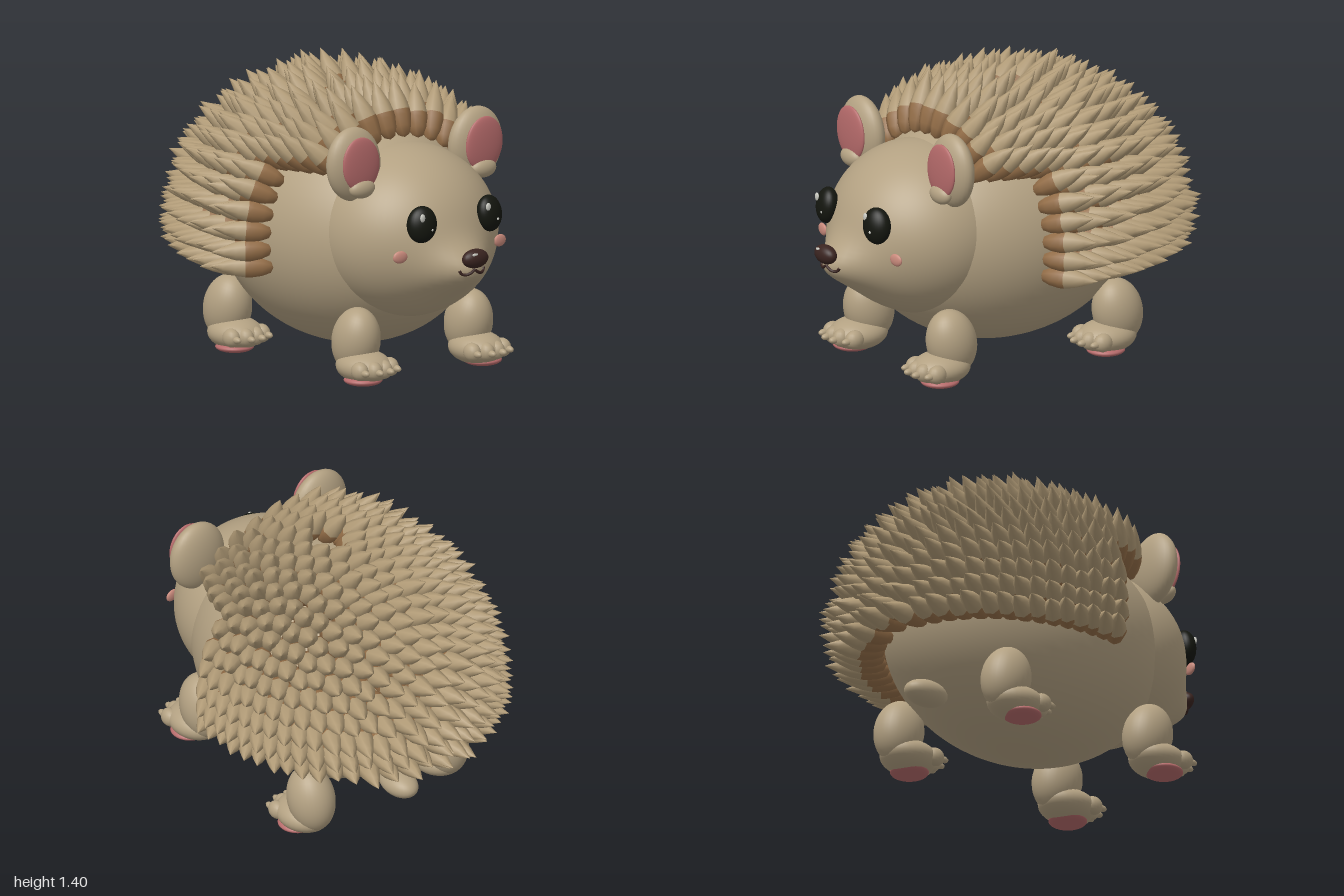
import * as THREE from 'three';
import { mergeGeometries, mergeVertices } from 'three/addons/utils/BufferGeometryUtils.js';

const mat = (color) => new THREE.MeshStandardMaterial({ color });
const fur = mat(0xb3a182), brown = mat(0x946e48), tan = mat(0xb09a76), pink = mat(0xb56a6a);
const black = mat(0x14160f), noseBrown = mat(0x3a2420), shine = mat(0xc8c8c0), blush = mat(0xc98a7c);

// Smooth ellipsoid with a centre, three radii and an optional rotation
function blob(name, parent, material, pos, radii, rot = [0, 0, 0], detail = 32) {
  const mesh = new THREE.Mesh(new THREE.SphereGeometry(1, detail, Math.round(detail * 0.7)), material);
  mesh.name = name;
  mesh.position.set(...pos);
  mesh.scale.set(...radii);
  mesh.rotation.set(...rot);
  parent.add(mesh);
}

// Ellipsoid head whose front swells softly into a muzzle
function addHead(parent) {
  let geo = new THREE.SphereGeometry(1, 72, 56);
  geo.deleteAttribute('uv');
  geo.deleteAttribute('normal');
  geo.scale(0.435, 0.405, 0.43).translate(0, 0.667, 0.42);
  geo = mergeVertices(geo, 1e-5);
  const p = geo.attributes.position;
  for (let i = 0; i < p.count; i++) {
    const x = p.getX(i), y = p.getY(i), z = p.getZ(i);
    if (z < 0.42) continue;
    const swell = Math.exp(-((x / 0.155) ** 2) - ((y - 0.55) / 0.115) ** 2);
    p.setZ(i, z + 0.125 * swell);
  }
  geo.computeVertexNormals();
  const head = new THREE.Mesh(geo, fur);
  head.name = 'head';
  parent.add(head);
}

// Coat of overlapping teardrop quills: dark roots and pale tips
function addQuills(parent) {
  const c = new THREE.Vector3(0, 0.62, -0.01), r = new THREE.Vector3(0.57, 0.57, 0.74);
  const lathe = (pts) => new THREE.LatheGeometry(pts.map(([x, y]) => new THREE.Vector2(x, y)), 8);
  const rootGeo = lathe([[0, 0], [0.027, 0.012], [0.043, 0.05], [0.052, 0.1], [0.051, 0.125]]);
  const tipGeo = lathe([[0.051, 0.125], [0.044, 0.17], [0.026, 0.225], [0, 0.285]]);
  const roots = [], tips = [];
  const up = new THREE.Vector3(0, 1, 0), q = new THREE.Quaternion(), size = new THREE.Vector3();
  let seed = 7;
  const jitter = (amount) => {
    seed = (seed * 16807) % 2147483647;
    return (seed / 2147483647 - 0.5) * 2 * amount;
  };

  const plant = (p) => {
    const d = p.clone().sub(c).divide(r).divide(r).normalize().multiplyScalar(0.76);
    d.y = Math.max(d.y, 0);
    d.z -= 0.6;
    d.normalize();
    d.x += jitter(0.05);
    d.y += jitter(0.04);
    q.setFromUnitVectors(up, d.normalize());
    size.set(1, 1 + jitter(0.07), 1);
    const m = new THREE.Matrix4().compose(p.clone().addScaledVector(d, -0.035), q, size);
    roots.push(rootGeo.clone().applyMatrix4(m));
    tips.push(tipGeo.clone().applyMatrix4(m));
  };

  // Staggered arcs from the rear pole towards the brow, ending along a level hem
  let row = 0;
  for (let t = 0.07; t < 2.12; row++) {
    const ring = r.x * Math.sin(t), z = c.z - r.z * Math.cos(t);
    const hem = z > 0.13 ? 0.98 : 0.5;
    const start = Math.asin(THREE.MathUtils.clamp((hem - c.y) / ring, -1, 1));
    const sweep = Math.PI - 2 * start;
    const count = Math.max(2, Math.round((sweep * ring) / 0.083) + (row % 2));
    for (let i = 0; i <= count; i++) {
      const a = start + (sweep * i) / count;
      const p = new THREE.Vector3(ring * Math.cos(a), c.y + ring * Math.sin(a), z);
      // bare patch on the crown of the back
      if (p.y > 1 && Math.hypot(p.x / 0.085, (p.z - 0.04) / 0.09) < 1) continue;
      plant(p);
    }
    t += 0.068 / Math.hypot(r.x * Math.cos(t), r.z * Math.sin(t));
  }
  for (const [name, list, m] of [['quillRoots', roots, brown], ['quillTips', tips, tan]]) {
    const mesh = new THREE.Mesh(mergeGeometries(list), m);
    mesh.name = name;
    parent.add(mesh);
  }
}

// Stubby leg with a rounded paw, four clawed toes and a pink sole
function addLeg(parent, name, x, z) {
  const leg = new THREE.Group();
  leg.name = name;
  leg.position.set(x, 0, z);
  blob('thigh', leg, fur, [0, 0.195, -0.005], [0.108, 0.16, 0.122], [0.25, 0, 0]);
  blob('paw', leg, fur, [0, 0.085, 0.055], [0.122, 0.077, 0.145]);
  blob('pawPad', leg, pink, [0.02 * Math.sign(x), 0.026, 0.075], [0.09, 0.026, 0.09]);
  for (let i = 0; i < 4; i++) {
    const u = i - 1.5, tx = u * 0.058, tz = 0.17 - 0.014 * u * u;
    blob('toe', leg, fur, [tx, 0.085, tz], [0.038, 0.044, 0.048], [0, 0, 0], 16);
    blob('claw', leg, fur, [tx * 1.05, 0.083, tz + 0.045], [0.017, 0.016, 0.03], [0, 0, 0], 12);
  }
  parent.add(leg);
}

export function createModel() {
  const model = new THREE.Group();
  model.name = 'hedgehog';

  // Body, head, nose and tail
  blob('body', model, fur, [0, 0.62, 0], [0.55, 0.55, 0.7], [0, 0, 0], 56);
  addHead(model);
  blob('nose', model, noseBrown, [0, 0.625, 0.96], [0.07, 0.045, 0.04]);
  blob('noseShine', model, shine, [-0.02, 0.649, 0.988], [0.018, 0.008, 0.006], [0, 0, 0], 12);
  blob('tail', model, fur, [0, 0.21, -0.58], [0.075, 0.06, 0.115]);

  // Mouth: two small upturned curves
  for (const s of [-1, 1]) {
    const curve = new THREE.CatmullRomCurve3([[0, 0.572, 0.955], [0.02, 0.558, 0.955], [0.045, 0.55, 0.945], [0.062, 0.556, 0.936], [0.07, 0.571, 0.932]]
      .map(([x, y, z]) => new THREE.Vector3(s * x, y, z)));
    const mouth = new THREE.Mesh(new THREE.TubeGeometry(curve, 16, 0.007, 8), noseBrown);
    mouth.name = 'mouth';
    model.add(mouth);
  }

  // Paired face parts, ears and legs
  for (const s of [-1, 1]) {
    blob('eye', model, black, [0.195 * s, 0.785, 0.81], [0.072, 0.086, 0.05], [-0.12, 0.3 * s, 0.15 * s]);
    blob('eyeShine', model, shine, [0.19 * s - 0.03, 0.825, 0.85], [0.014, 0.02, 0.008], [0, 0, 0], 12);
    blob('eyeGlint', model, shine, [0.19 * s + 0.018, 0.765, 0.86], [0.006, 0.007, 0.005], [0, 0, 0], 10);
    blob('cheek', model, blush, [0.288 * s, 0.635, 0.768], [0.038, 0.029, 0.012], [0, 0.15 * s, 0], 16);
    blob('ear', model, fur, [0.352 * s, 1.035, 0.495], [0.148, 0.175, 0.07], [0, 0, -0.1 * s]);
    blob('innerEar', model, pink, [0.356 * s, 1.045, 0.56], [0.105, 0.128, 0.022], [0, 0, -0.1 * s]);
    blob('earLobe', model, fur, [0.35 * s, 0.93, 0.56], [0.07, 0.045, 0.037]);
    addLeg(model, 'frontLeg', 0.325 * s, 0.485);
    addLeg(model, 'backLeg', 0.385 * s, -0.415);
  }

  addQuills(model);
  return model;
}
